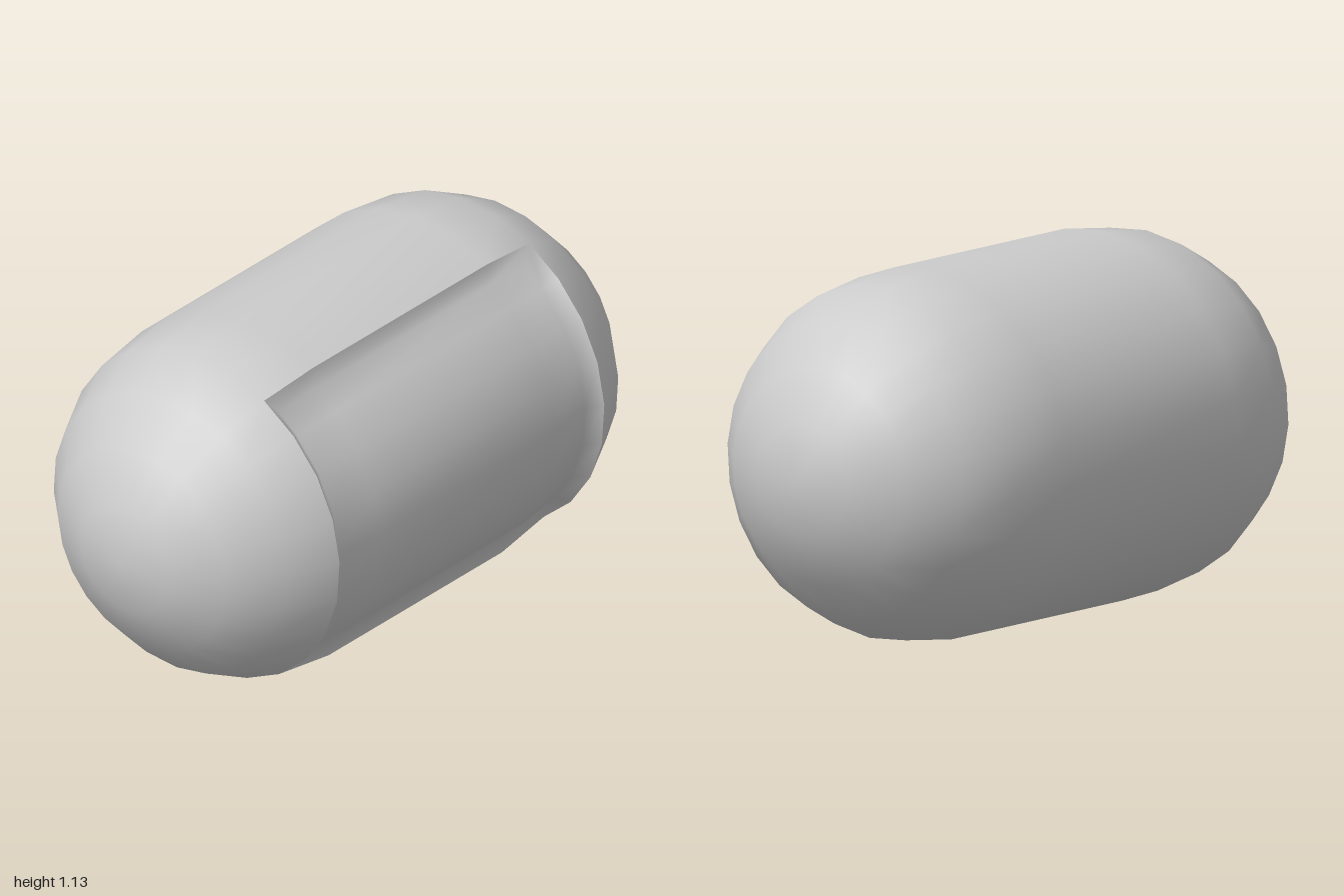
import * as THREE from 'three';
import { mergeVertices } from 'three/addons/utils/BufferGeometryUtils.js';

const SIDES = 24, R = 0.565, DEG = Math.PI / 180;
const FIRST = -56.4, STEP = 360 / SIDES; // first rim angle of the recess
const PANEL = 8; // sides covered by the recess

// Half of the profile: [radius, z], from the pole to the straight part
const half = [[0, 1]];
for (let k = 1; k < 5; k++) half.push([R * Math.sin(k * 18 * DEG), 0.435 + R * Math.cos(k * 18 * DEG)]);
half.push([R, 0.40]);
const rings = [...half, ...half.slice().reverse().map(([r, z]) => [r, -z])];
const rimRow = 4; // ring where the recess begins

const polar = (deg, r, z) => [r * Math.cos(deg * DEG), r * Math.sin(deg * DEG), z];

// Smooth surface from a grid of points; keep(i, j) decides which quads exist
function surface(point, cols, rows, keep = () => true) {
  const pos = [], index = [];
  for (let j = 0; j <= rows; j++) for (let i = 0; i <= cols; i++) pos.push(...point(i, j));
  for (let j = 0; j < rows; j++) for (let i = 0; i < cols; i++) {
    if (!keep(i, j)) continue;
    const a = j * (cols + 1) + i, b = a + 1, c = a + cols + 1, d = c + 1;
    index.push(a, c, d, a, d, b);
  }
  const g = new THREE.BufferGeometry();
  g.setAttribute('position', new THREE.Float32BufferAttribute(pos, 3));
  g.setIndex(index);
  const welded = mergeVertices(g, 1e-4);
  welded.computeVertexNormals();
  return welded;
}

// Point on the capsule skin
const outer = (i, j) => polar(FIRST + (i % SIDES) * STEP, ...rings[j]);

// Point on the sunken floor, drawn in from the rim on all four edges
const floorRows = [[0.5, 0.565], [0.52, 0.40], [0.52, -0.40], [0.5, -0.565]];
const inner = (i, j) => {
  const inset = i === 0 ? 4.5 : i === PANEL ? -4.5 : 0;
  return polar(FIRST + i * STEP + inset, ...floorRows[j]);
};

// Floor grid with one more ring of points around it, pinned to the rim
function recess(u, v) {
  const i = THREE.MathUtils.clamp(u - 1, 0, PANEL), j = THREE.MathUtils.clamp(v - 1, 0, 3);
  return i === u - 1 && j === v - 1 ? inner(i, j) : outer(i, rimRow + j);
}

export function createModel() {
  const group = new THREE.Group();
  group.name = 'capsule';
  const material = new THREE.MeshStandardMaterial({ color: 0xcccccc });
  const add = (name, geometry) => {
    const mesh = new THREE.Mesh(geometry, material);
    mesh.name = name;
    mesh.position.set(0.012, R, 0);
    group.add(mesh);
  };

  // Capsule skin with an opening on its left side
  add('shell', surface(outer, SIDES, rings.length - 1,
    (i, j) => !(i < PANEL && j >= rimRow && j < rimRow + 3)));

  // Sunken panel with its sloping walls
  add('recessedPanel', surface(recess, PANEL + 2, 5));

  return group;
}
